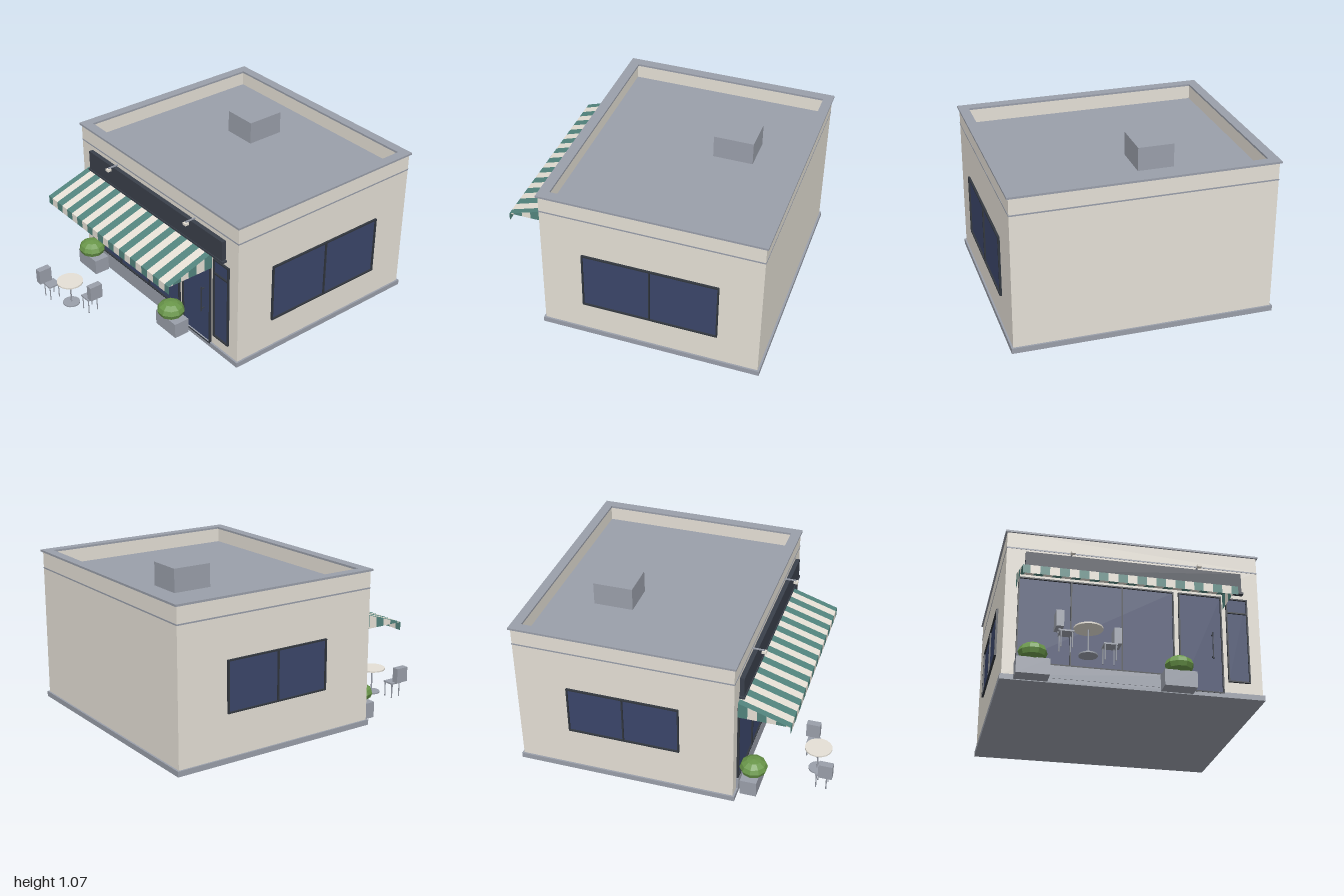
import * as THREE from 'three';
import { mergeGeometries } from 'three/addons/utils/BufferGeometryUtils.js';

const mat = (name, color, side = THREE.FrontSide) => {
  const m = new THREE.MeshStandardMaterial({ color, side });
  m.name = name;
  return m;
};

export function createModel() {
  const M = {
    wall: mat('plaster', 0xe5e0d6),
    grey: mat('stone grey', 0x9a9faa),
    glass: mat('blue glass', 0x3b466a),
    frame: mat('dark frame', 0x32373f),
    sign: mat('sign charcoal', 0x3a404b),
    teal: mat('awning teal', 0x53857e, THREE.DoubleSide),
    cream: mat('awning cream', 0xebe5da, THREE.DoubleSide),
    green: mat('leaf green', 0x6a974a),
  };
  M.green.flatShading = true;
  const model = new THREE.Group();
  model.name = 'cafe';

  const add = (name, geo, material, parent = model) => {
    const mesh = new THREE.Mesh(geo, material);
    mesh.name = name;
    parent.add(mesh);
    return mesh;
  };
  const group = (name) => {
    const g = new THREE.Group();
    g.name = name;
    model.add(g);
    return g;
  };
  // Box given by its extents on each axis
  const box = (name, x0, x1, y0, y1, z0, z1, material, parent) => {
    const mesh = add(name, new THREE.BoxGeometry(x1 - x0, y1 - y0, z1 - z0), material, parent);
    mesh.position.set((x0 + x1) / 2, (y0 + y1) / 2, (z0 + z1) / 2);
    return mesh;
  };
  const rod = (name, r, h, x, y, z, material, parent, sides = 8) => {
    const mesh = add(name, new THREE.CylinderGeometry(r, r, h, sides), material, parent);
    mesh.position.set(x, y + h / 2, z);
    return mesh;
  };
  // Rectangular ring lying flat, raised from y0 to y1; extents are [half width, back z, front z]
  const ring = (name, outer, inner, y0, y1, material) => {
    const pts = ([x, z0, z1]) => [[-x, -z1], [x, -z1], [x, -z0], [-x, -z0]].map((p) => new THREE.Vector2(...p));
    const shape = new THREE.Shape(pts(outer));
    shape.holes.push(new THREE.Path(pts(inner).reverse()));
    const geo = new THREE.ExtrudeGeometry(shape, { depth: y1 - y0, bevelEnabled: false });
    geo.rotateX(-Math.PI / 2).translate(0, y0, 0);
    return add(name, geo, material);
  };

  // Building shell, roof and parapet
  const wallX = 0.8235, wallBack = -0.988, wallFront = 0.426;
  box('plinth', -0.835, 0.835, 0, 0.035, -1, 0.438, M.grey);
  box('walls', -wallX, wallX, 0.035, 0.915, wallBack, wallFront, M.wall);
  box('roof', -0.8, 0.8, 0.914, 0.919, -0.965, 0.4, M.grey);
  ring('parapet', [wallX, wallBack, wallFront], [0.777, -0.942, 0.379], 0.915, 1.014, M.wall);
  ring('parapetCap', [0.835, -1, 0.437], [0.771, -0.937, 0.37], 1.013, 1.026, M.grey);
  ring('bandMoulding', [wallX + 0.002, wallBack - 0.002, wallFront + 0.002], [0.81, -0.97, 0.41], 0.9, 0.909, M.grey);
  box('roofUnit', -0.28, -0.05, 0.919, 1.07, -0.66, -0.4, M.grey);

  // Framed glazing in its own XY plane: glass almost flush with the wall, bars standing proud
  const glazing = (name, w, h, xBars = [], yBars = [], t = 0.009) => {
    const g = group(name);
    box('glass', -w / 2 + t / 2, w / 2 - t / 2, -h / 2 + t / 2, h / 2 - t / 2, -0.004, 0.003, M.glass, g);
    for (const x of [-w / 2 + t / 2, ...xBars, w / 2 - t / 2])
      box('frameUpright', x - t / 2, x + t / 2, -h / 2, h / 2, -0.004, 0.014, M.frame, g);
    for (const y of [-h / 2 + t / 2, ...yBars, h / 2 - t / 2])
      box('frameRail', -w / 2, w / 2, y - t / 2, y + t / 2, -0.004, 0.014, M.frame, g);
    return g;
  };
  glazing('shopWindow', 0.997, 0.585, [-0.163, 0.163]).position.set(-0.245, 0.4075, wallFront);
  glazing('door', 0.285, 0.675).position.set(0.427, 0.3625, wallFront);
  glazing('narrowWindow', 0.145, 0.585, [], [0.19]).position.set(0.672, 0.402, wallFront);
  const sideA = glazing('leftWindow', 0.88, 0.4, [0]);
  sideA.position.set(wallX, 0.437, -0.282);
  sideA.rotation.y = Math.PI / 2;
  const sideB = glazing('rightWindow', 0.73, 0.33, [0]);
  sideB.position.set(-wallX, 0.475, -0.285);
  sideB.rotation.y = -Math.PI / 2;
  box('stallRiser', -0.75, 0.275, 0.03, 0.115, 0.415, 0.441, M.grey);
  rod('doorHandle', 0.004, 0.185, 0.501, 0.25, 0.453, M.sign);
  for (const y of [0.265, 0.415]) box('handleMount', 0.498, 0.504, y, y + 0.008, 0.428, 0.453, M.sign);

  // Sign board and its lamps
  box('signBoard', -0.705, 0.705, 0.738, 0.872, wallFront, 0.455, M.sign);
  box('signLedge', -0.717, 0.717, 0.725, 0.738, wallFront, 0.46, M.sign);
  for (const x of [-0.412, 0.412]) {
    const lamp = group('signLamp');
    box('lampArm', x - 0.004, x + 0.004, 0.882, 0.89, wallFront, 0.5, M.grey, lamp);
    box('lampHead', x - 0.014, x + 0.014, 0.866, 0.882, 0.484, 0.512, M.cream, lamp);
  }

  // Striped awning: sloping cloth, front valance and triangular cheeks
  const quad = (a, b, c, d) => {
    const g = new THREE.BufferGeometry();
    g.setAttribute('position', new THREE.Float32BufferAttribute([a, b, c, a, c, d].flat(), 3));
    g.computeVertexNormals();
    return g;
  };
  const zWall = 0.43, zEdge = 0.757, yTop = 0.72, yEdge = 0.613, yHem = 0.558, pitch = 0.0595;
  const xL = -0.757, xR = 0.58;
  const slopeY = (z) => yTop + ((yEdge - yTop) * (z - zWall)) / (zEdge - zWall);
  const cloth = [[], []];
  const cuts = [xL];
  for (let k = 0; k <= 21; k++) cuts.push(-0.713 + k * pitch);
  cuts.push(xR);
  for (let k = 0; k < cuts.length - 1; k++) {
    const a = cuts[k], b = cuts[k + 1];
    cloth[k % 2].push(
      quad([a, yEdge, zEdge], [b, yEdge, zEdge], [b, yTop, zWall], [a, yTop, zWall]),
      quad([a, yHem, zEdge], [b, yHem, zEdge], [b, yEdge, zEdge], [a, yEdge, zEdge]));
  }
  for (let k = 0; k < 6; k++) {
    const z1 = Math.min(zEdge, zWall + (6 - k) * pitch), z0 = zWall + (5 - k) * pitch;
    cloth[(k + 1) % 2].push(
      quad([xR, yEdge, z1], [xR, yEdge, z0], [xR, slopeY(z0), z0], [xR, slopeY(z1), z1]),
      quad([xL, yEdge, z0], [xL, yEdge, z1], [xL, slopeY(z1), z1], [xL, slopeY(z0), z0]));
  }
  add('awningDarkStripes', mergeGeometries(cloth[0]), M.teal);
  add('awningLightStripes', mergeGeometries(cloth[1]), M.cream);

  // Planters with clipped bushes
  for (const x of [-0.65, 0.26]) {
    const p = group('planter');
    box('planterBox', x - 0.103, x + 0.103, 0, 0.106, 0.45, 0.557, M.grey, p);
    const bush = add('bush', new THREE.SphereGeometry(1, 10, 6), M.green, p);
    bush.scale.set(0.092, 0.06, 0.09);
    bush.position.set(x, 0.154, 0.512);
  }

  // Round table
  const table = group('table');
  rod('tableTop', 0.088, 0.01, -0.378, 0.168, 0.868, M.wall, table, 16);
  rod('tablePost', 0.005, 0.16, -0.378, 0.008, 0.868, M.grey, table);
  rod('tableFoot', 0.057, 0.009, -0.378, 0, 0.868, M.grey, table, 16);

  // Chairs: seat corner, then the back slab
  const chair = (x0, z0, bx, bz) => {
    const g = group('chair');
    const s = 0.082;
    box('seat', x0, x0 + s, 0.098, 0.108, z0, z0 + s, M.grey, g);
    box('backrest', bx, bx + 0.045, 0.112, 0.213, bz, bz + 0.09, M.grey, g);
    for (const dx of [0.008, s - 0.008])
      for (const dz of [0.008, s - 0.008]) rod('leg', 0.004, 0.1, x0 + dx, 0, z0 + dz, M.grey, g, 6);
    for (const dz of [0.015, 0.055])
      rod('backPost', 0.004, 0.02, bx + 0.0225, 0.1, bz + dz, M.grey, g, 6);
  };
  chair(-0.56, 0.888, -0.587, 0.91);
  chair(-0.281, 0.766, -0.217, 0.75);

  return model;
}
